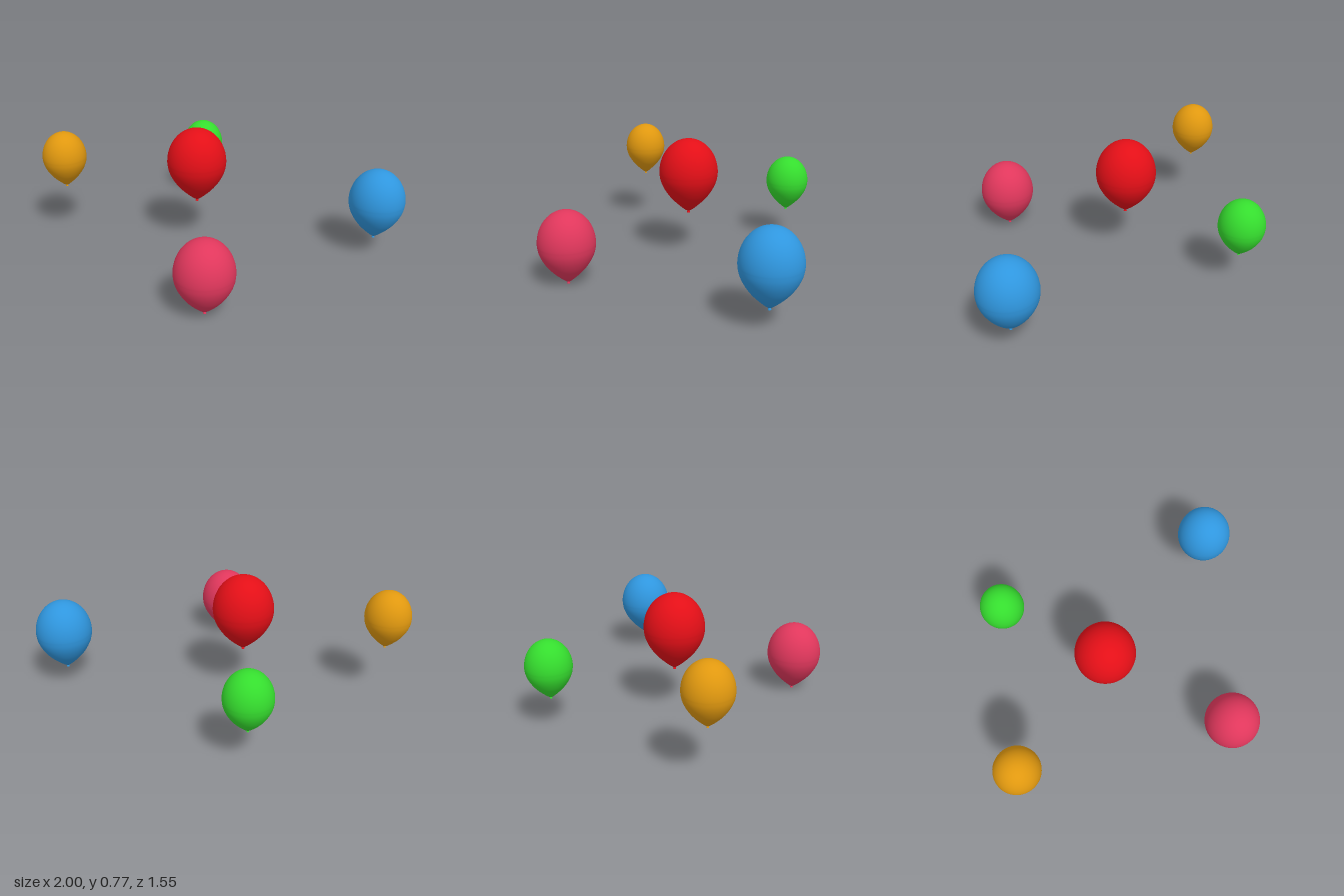
import * as THREE from 'three';

// Unit balloon outline (radius 1, height 2.65): tapered base, elliptical crown
function bodyProfile() {
  const base = new THREE.SplineCurve([
    [0.03, 0.06], [0.13, 0.12], [0.31, 0.27], [0.53, 0.48], [0.72, 0.71],
    [0.88, 0.98], [0.97, 1.23], [1, 1.47],
  ].map(([x, y]) => new THREE.Vector2(x, y))).getPoints(28);
  for (let i = 1; i <= 24; i++) {
    const a = (i / 24) * Math.PI / 2;
    base.push(new THREE.Vector2(i === 24 ? 0 : Math.cos(a), 1.47 + 1.18 * Math.sin(a)));
  }
  return base;
}

export function createModel() {
  const model = new THREE.Group();
  const bodyGeometry = new THREE.LatheGeometry(bodyProfile(), 48);
  // Small flared knot below the taper
  const knotGeometry = new THREE.CylinderGeometry(0.03, 0.055, 0.08, 16);
  knotGeometry.translate(0, 0.04, 0);

  // name, color, x, bottom y, z, radius, height
  const balloons = [
    ['redBalloon', 0xe30f17, -0.128, 0.289, -0.016, 0.185, 0.483],
    ['goldBalloon', 0xe0980f, -0.861, 0.337, 0.435, 0.139, 0.369],
    ['greenBalloon', 0x35dd2e, -0.591, 0.2, -0.62, 0.139, 0.369],
    ['pinkBalloon', 0xe0375c, 0.46, 0, 0.604, 0.1715, 0.455],
    ['blueBalloon', 0x2f96de, 0.8285, 0.108, -0.605, 0.1715, 0.455],
  ];
  for (const [name, color, x, y, z, radius, height] of balloons) {
    const material = new THREE.MeshStandardMaterial({ color });
    const balloon = new THREE.Group();
    balloon.name = name;
    const body = new THREE.Mesh(bodyGeometry, material);
    body.name = 'body';
    const knot = new THREE.Mesh(knotGeometry, material);
    knot.name = 'knot';
    balloon.add(body, knot);
    balloon.position.set(x, y, z);
    balloon.scale.set(radius, height / 2.65, radius);
    model.add(balloon);
  }
  return model;
}
